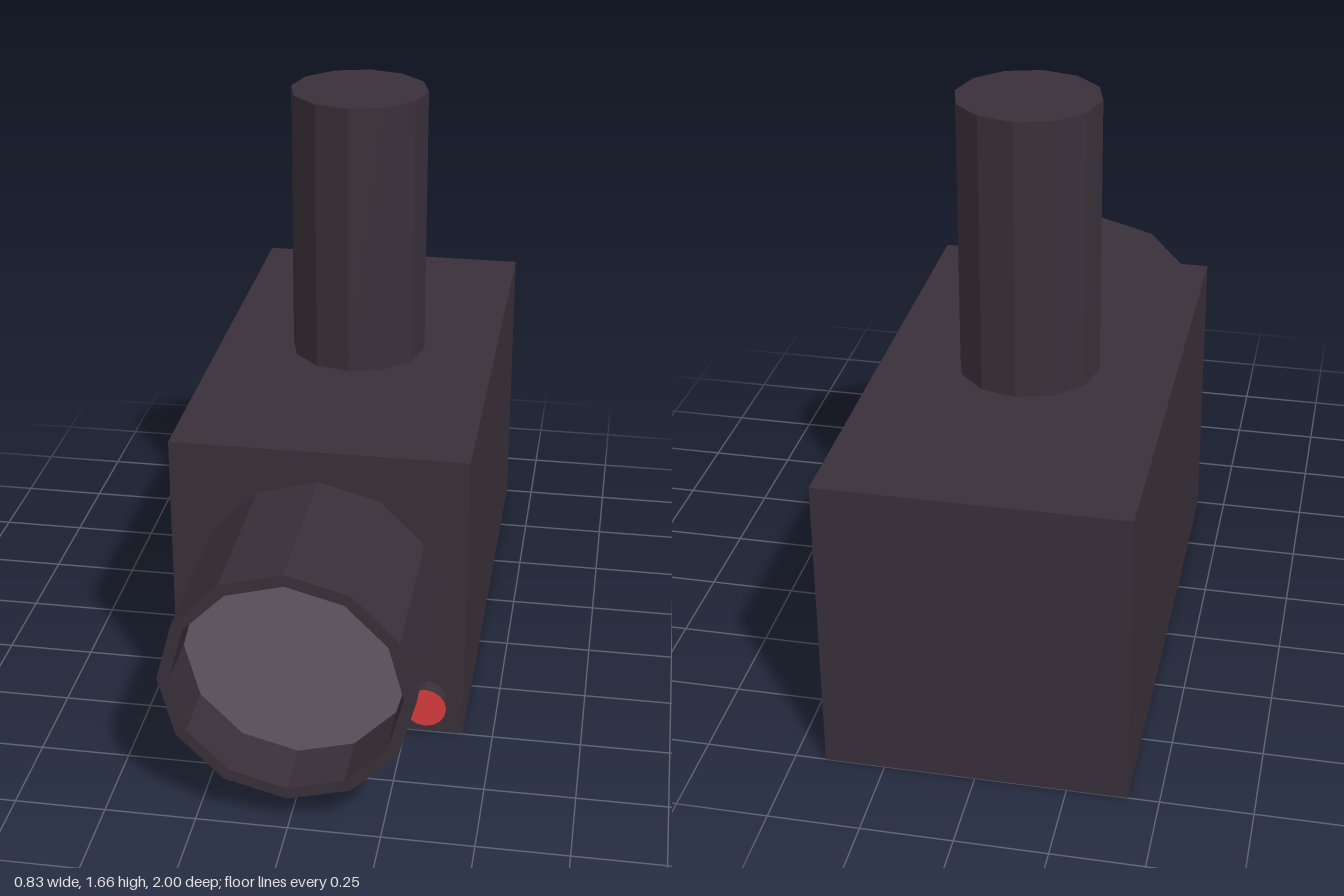
import * as THREE from 'three';

export function createModel() {
  const casing = new THREE.MeshStandardMaterial({ name: 'darkCasing', color: 0x393039, flatShading: true });
  const glass = new THREE.MeshStandardMaterial({ name: 'lensGlass', color: 0x655a67, flatShading: true });
  const red = new THREE.MeshStandardMaterial({ name: 'redLight', color: 0xd83d3d, flatShading: true });

  const model = new THREE.Group();
  model.name = 'boxCamera';
  const add = (name, geometry, material, x, y, z) => {
    const mesh = new THREE.Mesh(geometry, material);
    mesh.name = name;
    mesh.position.set(x, y, z);
    model.add(mesh);
    return mesh;
  };

  // Box body
  add('body', new THREE.BoxGeometry(0.83, 0.865, 1.495), casing, 0, 0.4325, -0.2525);

  // Mounting post on top
  add('mountingPost', new THREE.CylinderGeometry(0.2, 0.2, 0.8, 12), casing, 0, 1.265, -0.24);

  // Hollow lens barrel: outer wall, front rim, inner wall
  const profile = [[0.34, 0], [0.34, 0.505], [0.307, 0.505], [0.307, 0.33]]
    .map(([r, d]) => new THREE.Vector2(r, d));
  const barrel = new THREE.LatheGeometry(profile, 12).rotateX(Math.PI / 2);
  add('lensBarrel', barrel, casing, 0, 0.435, 0.495);

  // Recessed glass
  add('lens', new THREE.CircleGeometry(0.307, 12), glass, 0, 0.435, 0.83);

  // Indicator: dark side wall, red front cap
  const indicator = new THREE.CylinderGeometry(0.06, 0.06, 0.045, 16).rotateX(Math.PI / 2);
  add('indicatorLight', indicator, [casing, red, casing], 0.31, 0.105, 0.5175);

  return model;
}
